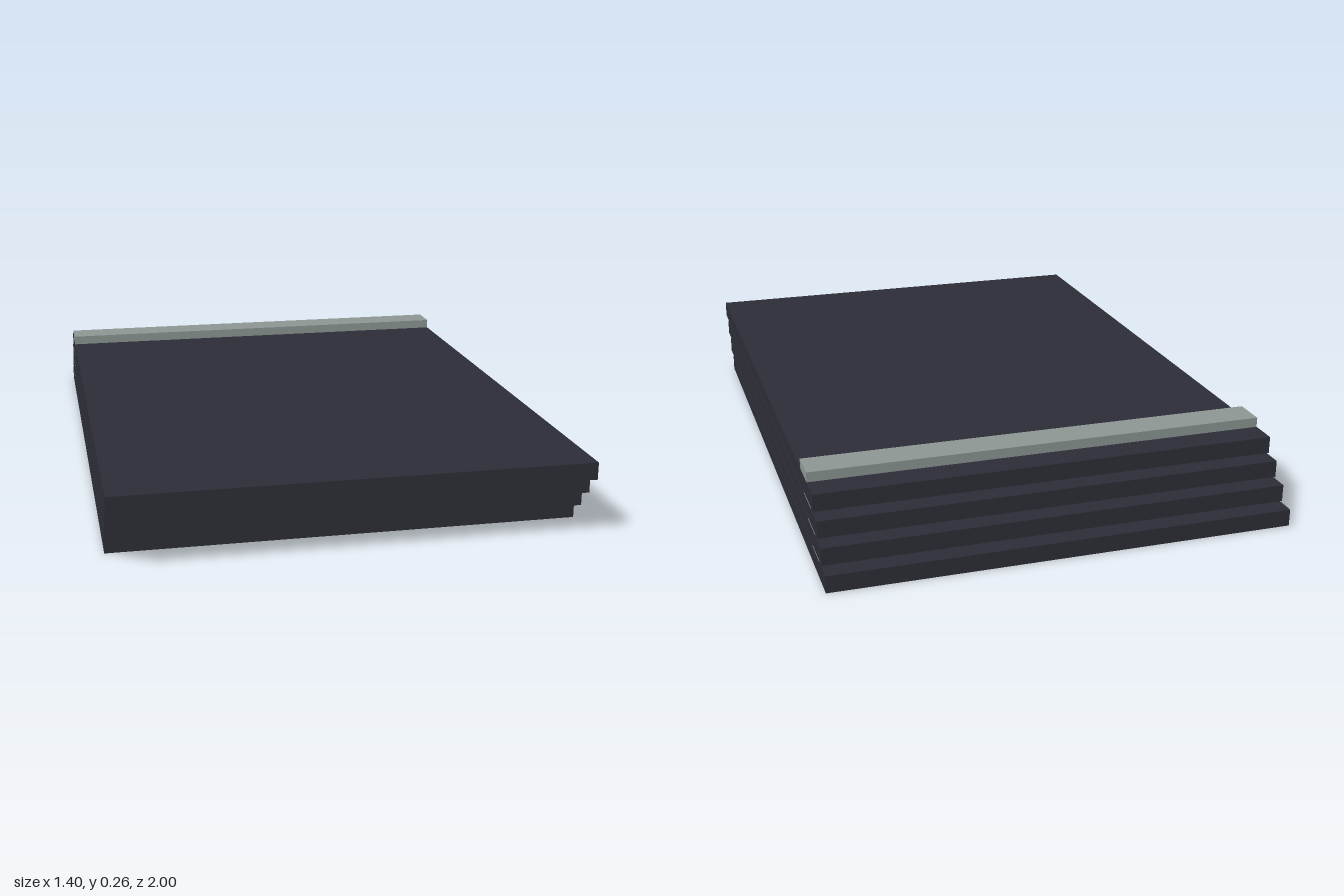
import * as THREE from 'three';

export function createModel() {
  const group = new THREE.Group();
  const slate = new THREE.MeshStandardMaterial({ color: 0x2d2d37 });
  slate.name = 'dark slate';
  const grey = new THREE.MeshStandardMaterial({ color: 0x8c9693 });
  grey.name = 'strip grey';

  const width = 1.4, depth = 1.85, thickness = 0.052;
  const count = 4, rise = 0.0577, shift = 0.05, stripHeight = 0.03;

  function addBox(name, material, height, boxDepth, bottom, back) {
    const mesh = new THREE.Mesh(new THREE.BoxGeometry(width, height, boxDepth), material);
    mesh.name = name;
    mesh.position.set(0, bottom + height / 2, back + boxDepth / 2);
    group.add(mesh);
  }

  // Stack of panels, each one stepped forward of the one below
  for (let i = 0; i < count; i++) {
    const bottom = i * rise, back = -1 + i * shift;
    addBox(`panel${i + 1}`, slate, thickness, depth, bottom, back);

    // Cross strip near the back edge; the lower ones fill the gap under the next panel
    const height = i === count - 1 ? stripHeight : rise - thickness;
    addBox(`strip${i + 1}`, grey, height, 0.1, bottom + thickness, back + 0.085);
  }
  return group;
}
